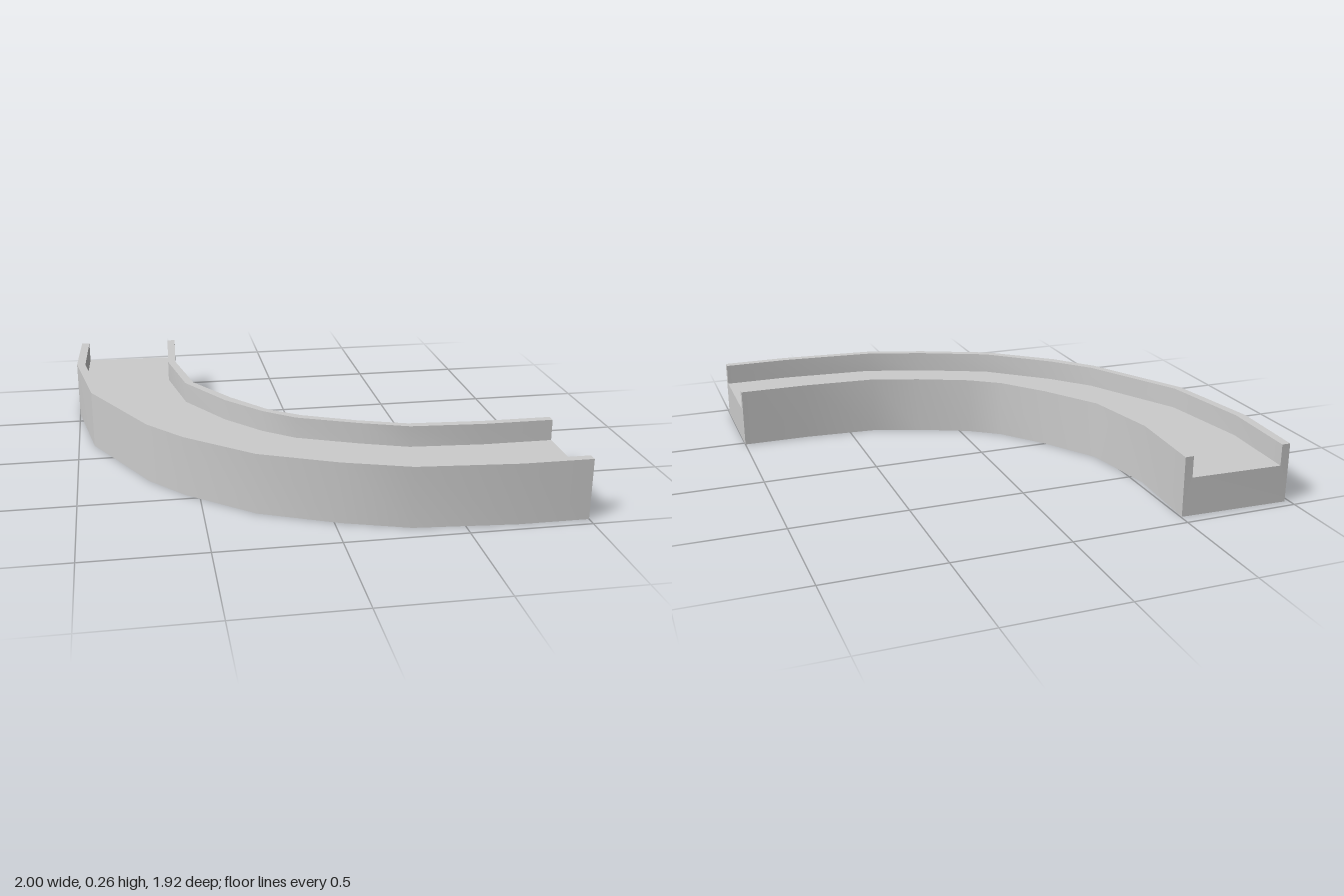
import * as THREE from 'three';

const HEIGHT = 0.257, FLOOR = 0.165;

// Plan lines [x, z] of the four rail edges, from the back end to the left end
const outer = [[-0.98, -0.96], [-1, -0.6], [-0.93, -0.16], [-0.7, 0.29], [-0.56, 0.46],
  [-0.29, 0.69], [0.02, 0.83], [0.29, 0.92], [0.71, 0.957], [1, 0.957]];
const outerLip = [[-0.943, -0.96], [-0.96, -0.59], [-0.895, -0.17], [-0.675, 0.26], [-0.53, 0.43],
  [-0.27, 0.66], [0.04, 0.8], [0.3, 0.885], [0.71, 0.92], [1, 0.92]];
const innerLip = [[-0.542, -0.945], [-0.56, -0.57], [-0.5, -0.23], [-0.345, 0.035], [-0.2, 0.205],
  [-0.07, 0.31], [0.185, 0.42], [0.385, 0.493], [0.7, 0.516], [1, 0.516]];
const inner = [[-0.505, -0.945], [-0.525, -0.57], [-0.463, -0.235], [-0.315, 0.005], [-0.17, 0.19],
  [-0.04, 0.285], [0.18, 0.385], [0.385, 0.457], [0.705, 0.48], [1, 0.48]];

// Cross-section corners in order around the channel: plan line and height
const corners = [[outer, 0], [outer, HEIGHT], [outerLip, HEIGHT], [outerLip, FLOOR],
  [innerLip, FLOOR], [innerLip, HEIGHT], [inner, HEIGHT], [inner, 0]];
const faceNames = ['outerSide', 'outerRailTop', 'outerRailInside', 'trackFloor',
  'innerRailInside', 'innerRailTop', 'innerSide', 'underside'];

const point = (corner, i) => {
  const [line, y] = corners[corner % corners.length];
  return [line[i][0], y, line[i][1]];
};

function makeMesh(name, positions, index, material) {
  const geometry = new THREE.BufferGeometry();
  geometry.setAttribute('position', new THREE.Float32BufferAttribute(positions, 3));
  geometry.setIndex(index);
  geometry.computeVertexNormals();
  const mesh = new THREE.Mesh(geometry, material);
  mesh.name = name;
  return mesh;
}

// One smooth strip of the channel between two neighbouring corners
function strip(name, corner, from, to, material) {
  const positions = [], index = [];
  for (let i = from; i <= to; i++) {
    positions.push(...point(corner, i), ...point(corner + 1, i));
    if (i < to) {
      const a = (i - from) * 2;
      index.push(a, a + 2, a + 1, a + 1, a + 2, a + 3);
    }
  }
  return makeMesh(name, positions, index, material);
}

// Flat U-shaped end face
function endCap(name, station, flip, material) {
  const positions = corners.flatMap((_, c) => point(c, station));
  const index = [0, 1, 2, 0, 2, 3, 0, 3, 4, 0, 4, 7, 4, 5, 6, 4, 6, 7];
  return makeMesh(name, positions, flip ? index.reverse() : index, material);
}

export function createModel() {
  const group = new THREE.Group();
  group.name = 'curvedTrack';
  const material = new THREE.MeshStandardMaterial({ color: 0xcccccc });
  const last = outer.length - 1;

  faceNames.forEach((name, c) => {
    // The outer side has one sharp crease near the back end
    const stops = c === 0 ? [0, 2, last] : [0, last];
    for (let s = 0; s < stops.length - 1; s++) {
      group.add(strip(name, c, stops[s], stops[s + 1], material));
    }
  });

  group.add(endCap('backEnd', 0, false, material));
  group.add(endCap('leftEnd', last, true, material));
  return group;
}
